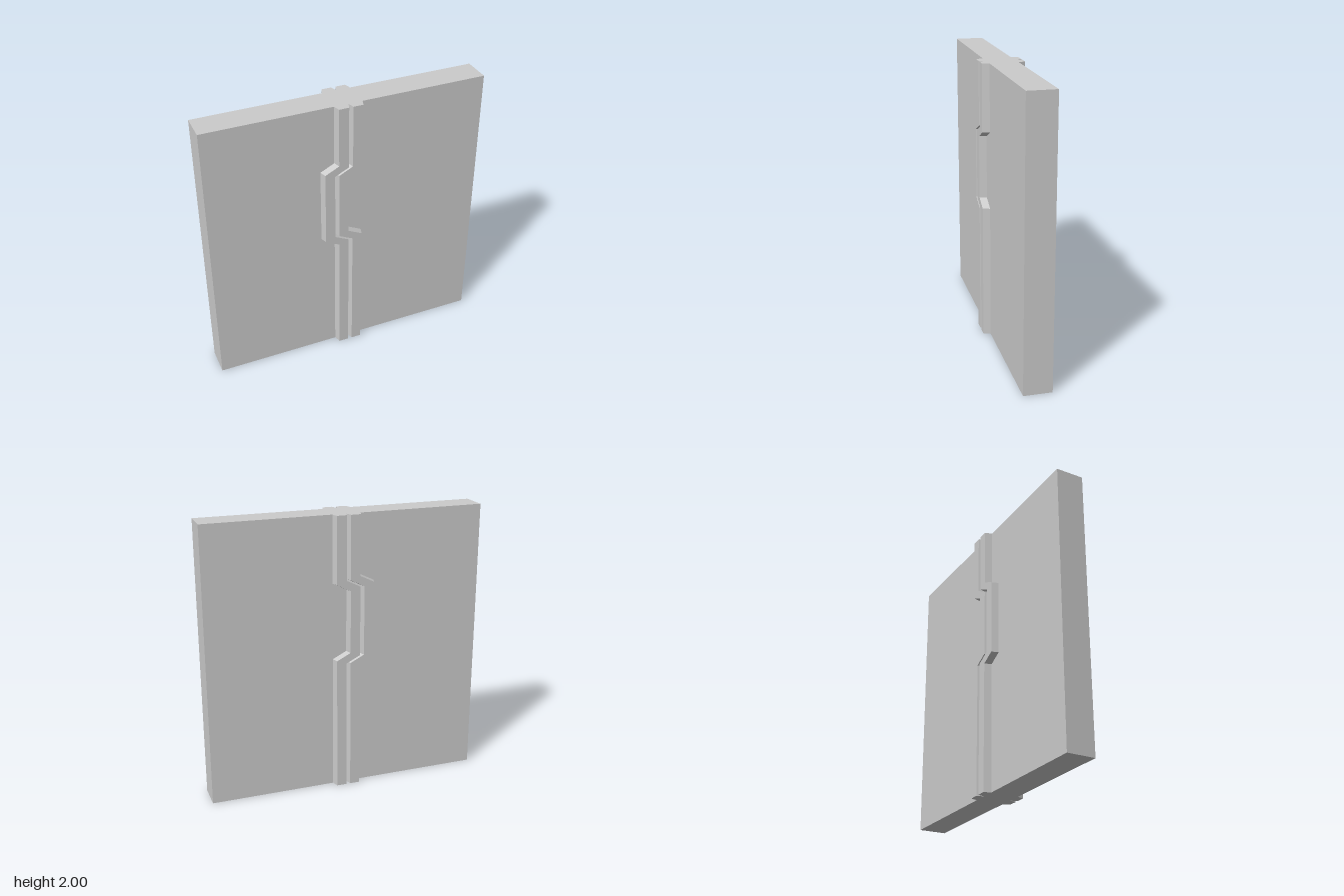
import * as THREE from 'three';

// Path stations: [y, x shift, direction in which the bend height varies across the trim]
const STATIONS = [
  [0, 0, 0], [0.95, 0, 1], [1, -0.1, 1],
  [1.5, -0.1, -1], [1.55, 0, -1], [2, 0, 0],
];

// Rail cross-section: [x, z, bend height offset], outer foot to groove bottom
const LEFT_RAIL = [[-0.1, 0.1, -0.025], [-0.085, 0.15, -0.025], [-0.015, 0.15, 0], [0, 0.1, 0]];
const RIGHT_RAIL = LEFT_RAIL.map(([x, z, d]) => [-x, z, -d]).reverse();

// Sweeps a rail section along the stations; side is +1 for front, -1 for back
function railGeometry(profile, side) {
  const rings = STATIONS.map(([y, shift, k]) =>
    profile.map(([x, z, d]) => [x + shift, y + k * d, z * side]));
  const positions = [];
  const quad = (a, b, c, d) => {
    const corners = side > 0 ? [a, b, c, a, c, d] : [a, c, b, a, d, c];
    corners.forEach((p) => positions.push(...p));
  };
  for (let j = 0; j < rings.length - 1; j++) {
    for (let i = 0; i < 3; i++) {
      quad(rings[j][i], rings[j][i + 1], rings[j + 1][i + 1], rings[j + 1][i]);
    }
  }
  // End caps
  quad(...rings[rings.length - 1]);
  quad(...[...rings[0]].reverse());
  const geometry = new THREE.BufferGeometry();
  geometry.setAttribute('position', new THREE.Float32BufferAttribute(positions, 3));
  geometry.computeVertexNormals();
  return geometry;
}

export function createModel() {
  const model = new THREE.Group();
  const material = new THREE.MeshStandardMaterial({ color: 0xcccccc, flatShading: true });
  const add = (name, geometry) => {
    const mesh = new THREE.Mesh(geometry, material);
    mesh.name = name;
    model.add(mesh);
    return mesh;
  };

  // Flat wall slab
  add('wallPanel', new THREE.BoxGeometry(2, 2, 0.2)).position.y = 1;

  // Pair of jogged rails with a V groove between them, on both faces
  for (const [face, side] of [['front', 1], ['back', -1]]) {
    add(face + 'RightRail', railGeometry(LEFT_RAIL, side));
    add(face + 'LeftRail', railGeometry(RIGHT_RAIL, side));
  }
  return model;
}
